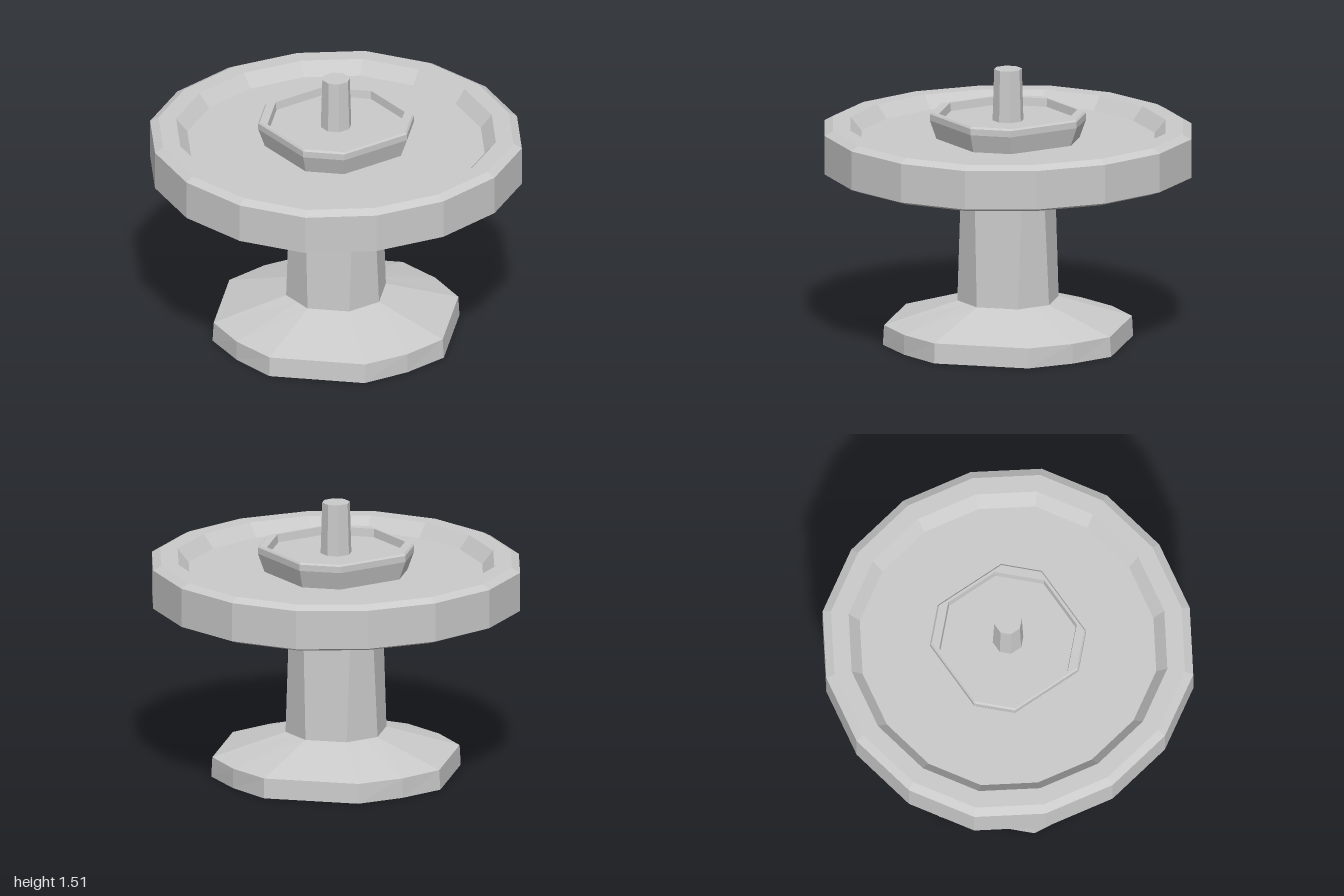
import * as THREE from 'three';

const stone = new THREE.MeshStandardMaterial({ color: 0xcacaca });
stone.name = 'pale grey';

// Repeat one quarter of a cross-section four times around the y axis
function ring(y, quarter) {
  const points = [];
  let q = quarter;
  for (let k = 0; k < 4; k++) {
    q.forEach(([x, z]) => points.push(new THREE.Vector3(x, y, z)));
    q = q.map(([x, z]) => [z, -x]);
  }
  return points;
}

// Cross-section rules
const octagon = (y, a, b) => ring(y, [[a, b], [b, a]]);
const twelve = (y, mid, a, b) => ring(y, [[0, mid], [a, b], [b, a]]);
const sixteen = (y, r) =>
  ring(y, [[0, 1], [0.395, 0.928], [0.724, 0.724], [0.928, 0.395]].map(([x, z]) => [x * r, z * r]));

// Faceted skin through the rings, closed at both ends
function loft(name, rings) {
  const pos = [];
  const tri = (...v) => v.forEach((p) => pos.push(p.x, p.y, p.z));
  const n = rings[0].length;
  const bottom = new THREE.Vector3(0, rings[0][0].y, 0);
  const top = new THREE.Vector3(0, rings[rings.length - 1][0].y, 0);
  for (let i = 0; i < n; i++) {
    const j = (i + 1) % n;
    tri(bottom, rings[0][j], rings[0][i]);
    for (let k = 0; k < rings.length - 1; k++) {
      const lo = rings[k], hi = rings[k + 1];
      tri(lo[i], lo[j], hi[j]);
      tri(lo[i], hi[j], hi[i]);
    }
    tri(top, rings[rings.length - 1][i], rings[rings.length - 1][j]);
  }
  const geometry = new THREE.BufferGeometry();
  geometry.setAttribute('position', new THREE.Float32BufferAttribute(pos, 3));
  geometry.computeVertexNormals();
  const mesh = new THREE.Mesh(geometry, stone);
  mesh.name = name;
  return mesh;
}

export function createModel() {
  const model = new THREE.Group();
  model.name = 'pedestalBasin';
  model.add(
    // Foot with a sloping shoulder
    loft('foot', [
      twelve(0, 0.665, 0.265, 0.636),
      twelve(0.11, 0.665, 0.26, 0.632),
      twelve(0.235, 0.262, 0.1, 0.26),
    ]),
    // Tapered eight-sided column
    loft('column', [octagon(0.235, 0.1, 0.262), octagon(0.95, 0.067, 0.257)]),
    // Wide dish with a bevelled rim and sunken floor
    loft('dish', [
      sixteen(0.94, 0.95),
      sixteen(0.96, 1),
      sixteen(1.175, 1),
      sixteen(1.2, 0.955),
      sixteen(1.2, 0.86),
      sixteen(1.128, 0.8),
    ]),
    // Small inner bowl
    loft('innerBowl', [
      octagon(1.128, 0.19, 0.34),
      octagon(1.23, 0.21, 0.37),
      octagon(1.265, 0.21, 0.37),
      octagon(1.275, 0.205, 0.362),
      octagon(1.275, 0.155, 0.347),
      octagon(1.23, 0.153, 0.342),
    ]),
    // Central spout
    loft('spout', [octagon(1.22, 0.034, 0.078), octagon(1.515, 0.03, 0.07)]),
  );
  return model;
}
